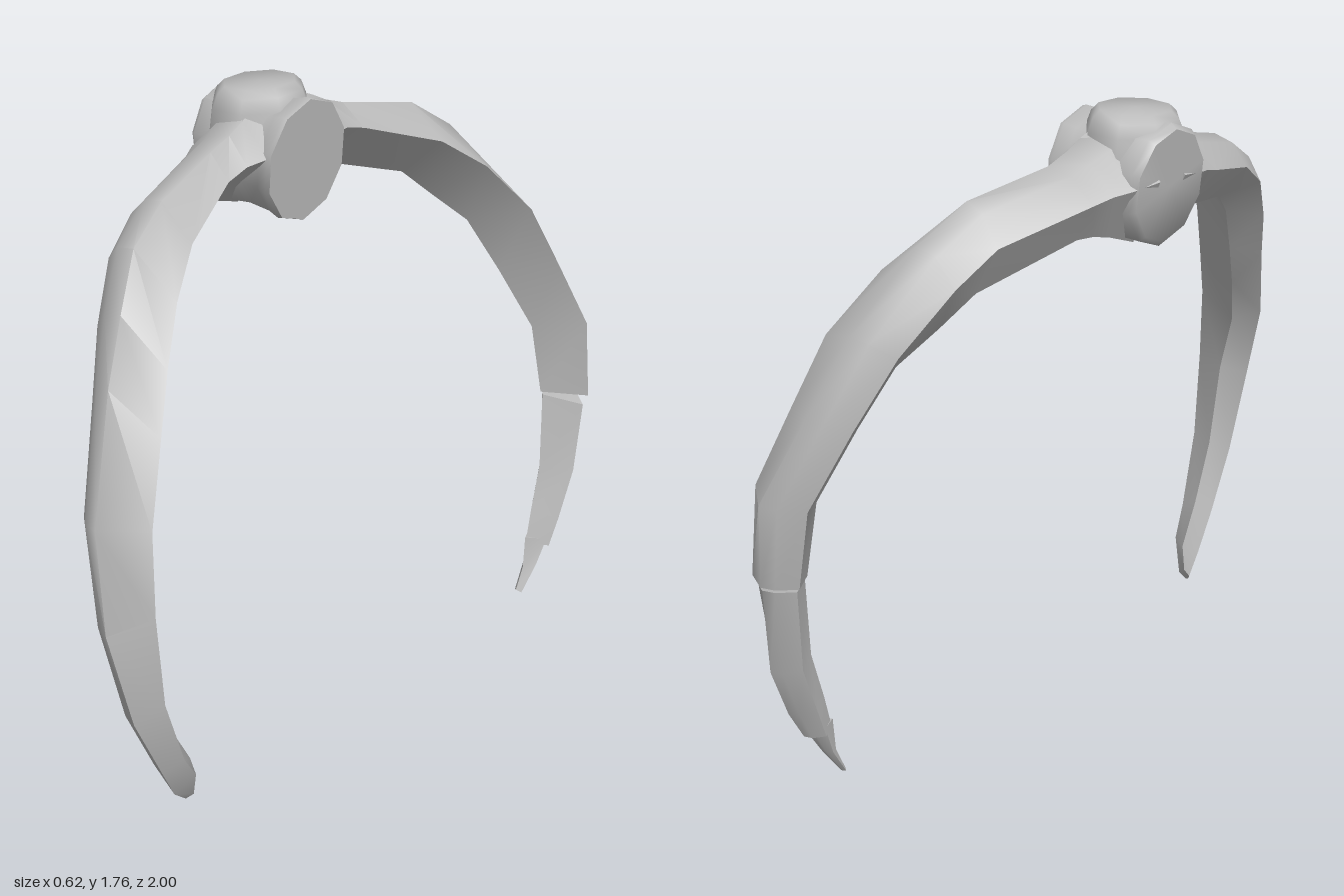
import * as THREE from 'three';
import { toCreasedNormals } from 'three/addons/utils/BufferGeometryUtils.js';

// Closed skin over a row of equal-sized rings of [x, y, z] points
function loft(rings, crease = 0.95) {
  const n = rings[0].length, last = rings.length - 1;
  const tris = [];
  for (let r = 0; r < last; r++) {
    for (let i = 0; i < n; i++) {
      const j = (i + 1) % n;
      const a = rings[r][i], b = rings[r][j], c = rings[r + 1][j], d = rings[r + 1][i];
      tris.push([a, b, c], [a, c, d]);
    }
  }
  const centre = ring => [0, 1, 2].map(k => ring.reduce((s, p) => s + p[k], 0) / n);
  const c0 = centre(rings[0]), c1 = centre(rings[last]);
  for (let i = 0; i < n; i++) {
    const j = (i + 1) % n;
    tris.push([c0, rings[0][j], rings[0][i]], [c1, rings[last][i], rings[last][j]]);
  }
  // a negative volume means the skin is inside out
  const v = p => new THREE.Vector3(...p);
  const volume = tris.reduce((s, t) => s + v(t[0]).dot(v(t[1]).cross(v(t[2]))), 0);
  if (volume < 0) tris.forEach(t => t.reverse());
  const g = new THREE.BufferGeometry();
  g.setAttribute('position', new THREE.Float32BufferAttribute(tris.flat(2), 3));
  return toCreasedNormals(g, crease);
}

// Rib section: outer ridge, side edge and inner edge as (z, y), with three x values
function ribRing([xL, xB, xR, oz, oy, mz, my, iz, iy], side) {
  const mix = (a, b, t) => a + (b - a) * t;
  return [
    [xL, mix(oy, iy, 0.45), mix(oz, iz, 0.45)],
    [mix(xL, xB, 0.5), mix(oy, iy, 0.1), mix(oz, iz, 0.1)],
    [xB, oy, oz],
    [xR, my, mz],
    [mix(xL, xR, 0.3), iy, iz],
  ].map(([x, y, z]) => [x, y, z * side]);
}

// Flared root shared by both ribs
const ribRoot = [
  [-0.30, -0.12, -0.01, 0.05, 1.73, 0.05, 1.62, 0.05, 1.42],
  [-0.29, -0.11, -0.02, 0.14, 1.69, 0.14, 1.61, 0.14, 1.45],
  [-0.265, -0.11, -0.04, 0.19, 1.665, 0.20, 1.60, 0.19, 1.46],
  [-0.25, -0.11, -0.04, 0.26, 1.64, 0.27, 1.58, 0.24, 1.46],
];
const frontRibRows = [
  ...ribRoot,
  [-0.19, -0.06, 0.05, 0.49, 1.59, 0.50, 1.51, 0.44, 1.43],
  [-0.15, -0.02, 0.12, 0.63, 1.52, 0.63, 1.42, 0.54, 1.36],
  [-0.09, 0.04, 0.17, 0.74, 1.40, 0.72, 1.29, 0.64, 1.22],
  [-0.02, 0.08, 0.21, 0.83, 1.25, 0.79, 1.15, 0.74, 1.08],
  [0.07, 0.16, 0.28, 0.97, 0.96, 0.90, 0.97, 0.86, 0.92],
  [0.13, 0.21, 0.30, 1.00, 0.70, 0.92, 0.75, 0.87, 0.75],
  [0.17, 0.25, 0.30, 0.96, 0.44, 0.90, 0.49, 0.86, 0.49],
  [0.175, 0.25, 0.28, 0.87, 0.24, 0.82, 0.27, 0.79, 0.31],
  [0.175, 0.23, 0.26, 0.81, 0.13, 0.76, 0.18, 0.72, 0.18],
  [0.18, 0.20, 0.22, 0.74, 0.06, 0.73, 0.08, 0.72, 0.10],
];
const backRibRows = [
  ...ribRoot,
  [-0.17, -0.06, 0.05, 0.50, 1.59, 0.50, 1.50, 0.52, 1.37],
  [-0.13, -0.02, 0.12, 0.63, 1.50, 0.62, 1.41, 0.60, 1.29],
  [-0.07, 0.04, 0.19, 0.81, 1.30, 0.75, 1.26, 0.69, 1.20],
  [0.01, 0.11, 0.24, 0.90, 1.10, 0.83, 1.08, 0.76, 1.04],
  [0.09, 0.19, 0.30, 0.995, 0.88, 0.91, 0.88, 0.84, 0.85],
  [0.14, 0.22, 0.31, 0.98, 0.645, 0.93, 0.635, 0.85, 0.64],
];
const backRibEndRows = [
  [0.15, 0.22, 0.30, 0.975, 0.635, 0.92, 0.605, 0.855, 0.63],
  [0.18, 0.25, 0.30, 0.94, 0.38, 0.89, 0.39, 0.83, 0.40],
  [0.19, 0.26, 0.29, 0.88, 0.23, 0.84, 0.24, 0.79, 0.26],
  [0.20, 0.25, 0.28, 0.84, 0.15, 0.81, 0.15, 0.765, 0.16],
];
const splinterRows = [
  [0.205, 0.24, 0.27, 0.84, 0.17, 0.81, 0.17, 0.76, 0.18],
  [0.215, 0.24, 0.26, 0.79, 0.09, 0.775, 0.09, 0.75, 0.08],
  [0.22, 0.235, 0.245, 0.73, 0.005, 0.725, 0.005, 0.72, 0.01],
];

export function createModel() {
  const model = new THREE.Group();
  model.name = 'ribPair';
  const bone = new THREE.MeshStandardMaterial({ color: 0xbababa });
  bone.name = 'grey bone';
  const add = (name, geometry) => {
    const mesh = new THREE.Mesh(geometry, bone);
    mesh.name = name;
    model.add(mesh);
  };

  // Spine body: a drum lying along x, barely waisted, its ends leaning with height
  const drum = [[-0.292, 0.135], [-0.275, 0.148], [-0.2, 0.145], [-0.13, 0.14], [-0.06, 0.145], [-0.025, 0.155], [-0.012, 0.152]];
  add('spineBody', loft(drum.map(([x, r]) => Array.from({ length: 10 }, (_, i) => {
    const a = i / 10 * Math.PI * 2 + Math.PI / 2;
    const lean = Math.sin(a) * (x < -0.15 ? -0.018 : 0.012);
    return [x + lean, 1.57 + Math.sin(a) * r * 1.1, Math.cos(a) * r];
  }))));

  // Stub spreading into the top of the spine body
  const stub = [[1.62, 0.14], [1.70, 0.128], [1.735, 0.115], [1.755, 0.095]];
  add('topStub', loft(stub.map(([y, r]) => Array.from({ length: 8 }, (_, i) => {
    const a = (i + 0.5) / 8 * Math.PI * 2;
    return [-0.168 + Math.cos(a) * r, y + Math.cos(a) * 0.006, 0.008 + Math.sin(a) * r * 1.08];
  }))));

  // Ribs: the front one whole, the back one cracked with a splintered tip
  const rib = (name, rows, side) => add(name, loft(rows.map(row => ribRing(row, side))));
  rib('frontRib', frontRibRows, 1);
  rib('backRib', backRibRows, -1);
  rib('backRibEnd', backRibEndRows, -1);
  rib('backRibSplinter', splinterRows, -1);
  return model;
}
